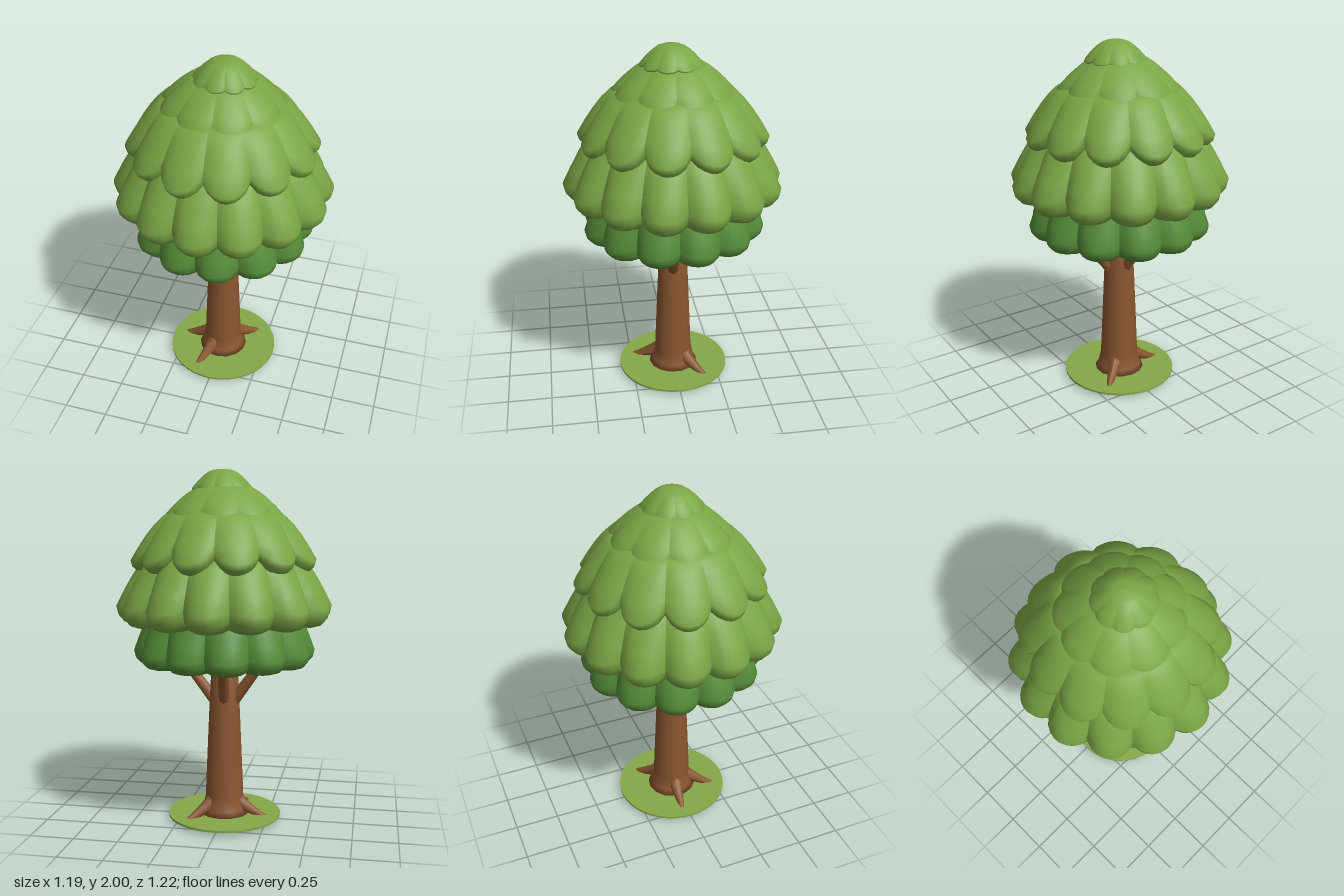
import * as THREE from 'three';

const bark = new THREE.MeshStandardMaterial({ color: 0x8a5630 });
const leaf = new THREE.MeshStandardMaterial({ color: 0x7aa645 });
const darkLeaf = new THREE.MeshStandardMaterial({ color: 0x558c38 });
const grass = new THREE.MeshStandardMaterial({ color: 0x86a848 });

function add(parent, name, geometry, material) {
  const mesh = new THREE.Mesh(geometry, material);
  mesh.name = name;
  parent.add(mesh);
  return mesh;
}

// Tier outline, top to bottom: sloping dome, rounded lip, flat underside.
// Each row is radius, height, groove depth and groove lift.
function tierProfile({ shoulder, top, rim, rimY, bottom, depth, lift }) {
  const rows = [{ r: 0, y: top + 0.005, d: 0, h: 0 }];
  for (let i = 0; i <= 5; i++) {
    const t = i / 5;
    rows.push({ r: shoulder + (rim - shoulder) * t, y: top - (top - rimY) * t ** 1.5, d: depth * t, h: lift * t ** 3 });
  }
  for (let i = 1; i <= 3; i++) {
    const a = (i / 3) * (Math.PI / 2);
    rows.push({ r: rim * (0.86 + 0.14 * Math.cos(a)), y: rimY - (rimY - bottom) * Math.sin(a), d: depth, h: lift });
  }
  rows.push({ r: rim / 2, y: bottom, d: depth / 2, h: lift / 2 }, { r: 0, y: bottom, d: 0, h: 0 });
  return rows;
}

// Scalloped tier; each lobe has its own vertices, so the grooves stay sharp.
function tierGeometry(tier, steps = 8) {
  const profile = tierProfile(tier), rows = profile.length;
  const pos = [], index = [];
  for (let l = 0; l < tier.lobes; l++) {
    const base = pos.length / 3;
    for (let s = 0; s <= steps; s++) {
      const u = s / steps;
      const angle = tier.phase + ((l + u) / tier.lobes) * Math.PI * 2;
      const notch = 1 - Math.max(0, Math.sin(Math.PI * u)) ** 0.75;
      for (const { r, y, d, h } of profile) {
        const rad = r * (1 - d * notch);
        pos.push(Math.sin(angle) * rad, y + h * notch, Math.cos(angle) * rad);
      }
    }
    for (let s = 0; s < steps; s++) {
      for (let k = 0; k < rows - 1; k++) {
        const a = base + s * rows + k, b = a + rows;
        index.push(a, a + 1, b, b, a + 1, b + 1);
      }
    }
  }
  const g = new THREE.BufferGeometry();
  g.setAttribute('position', new THREE.Float32BufferAttribute(pos, 3));
  g.setIndex(index);
  g.computeVertexNormals();
  return g;
}

// Tapered limb: a tube whose rings shrink along the path, closed by a small ball at each end.
function addLimb(parent, name, points, r0, r1) {
  const sides = 8, segments = 5;
  const curve = new THREE.CatmullRomCurve3(points);
  const g = new THREE.TubeGeometry(curve, segments, 1, sides);
  const p = g.attributes.position, v = new THREE.Vector3();
  for (let i = 0; i < p.count; i++) {
    const t = Math.floor(i / (sides + 1)) / segments;
    const c = curve.getPointAt(t);
    v.fromBufferAttribute(p, i).sub(c).multiplyScalar(r0 + (r1 - r0) * t).add(c);
    p.setXYZ(i, v.x, v.y, v.z);
  }
  g.computeVertexNormals();
  const limb = new THREE.Group();
  limb.name = name;
  parent.add(limb);
  add(limb, name + 'Shaft', g, bark);
  add(limb, name + 'Start', new THREE.SphereGeometry(r0, 8, 6), bark).position.copy(points[0]);
  add(limb, name + 'Tip', new THREE.SphereGeometry(r1, 8, 6), bark).position.copy(points[points.length - 1]);
}

export function createModel() {
  const tree = new THREE.Group();
  tree.name = 'tree';

  // Grass disc
  add(tree, 'ground', new THREE.CylinderGeometry(0.325, 0.325, 0.012, 40), grass).position.y = 0.024;

  // Trunk with flared foot
  const trunk = [[0, 0.02], [0.15, 0.02], [0.125, 0.06], [0.11, 0.13], [0.09, 0.6], [0.07, 1], [0, 1]];
  add(tree, 'trunk', new THREE.LatheGeometry(trunk.map(([r, y]) => new THREE.Vector2(r, y)), 14), bark);

  // Roots, each curving down to its tip on the ground
  for (const [x, z] of [[-0.11, 0.25], [0.2, -0.18], [-0.265, -0.03]]) {
    const at = (t, y) => new THREE.Vector3(x * t, y, z * t);
    addLimb(tree, 'root', [at(0.32, 0.1), at(0.5, 0.07), at(0.76, 0.035), at(0.98, 0.012)], 0.042, 0.012);
  }

  // Branches rising into the crown
  for (const [x, z] of [[0.28, 0.03], [-0.25, -0.04], [-0.03, -0.22]]) {
    addLimb(tree, 'branch', [new THREE.Vector3(x * 0.2, 0.69, z * 0.2), new THREE.Vector3(x, 0.97, z)], 0.034, 0.026);
  }

  // Crown tiers, bottom to top
  const crown = new THREE.Group();
  crown.name = 'crown';
  tree.add(crown);
  add(crown, 'bottomTier', tierGeometry({ lobes: 12, phase: -0.06, shoulder: 0.38, top: 1.25, rim: 0.515, rimY: 0.99, bottom: 0.913, depth: 0.13, lift: 0.01 }), darkLeaf);
  add(crown, 'lowerTier', tierGeometry({ lobes: 14, phase: Math.PI / 14, shoulder: 0.38, top: 1.56, rim: 0.61, rimY: 1.245, bottom: 1.145, depth: 0.12, lift: 0.02 }), leaf);
  add(crown, 'middleTier', tierGeometry({ lobes: 12, phase: 0.06, shoulder: 0.3, top: 1.765, rim: 0.525, rimY: 1.5, bottom: 1.435, depth: 0.13, lift: 0.06 }), leaf);
  add(crown, 'upperTier', tierGeometry({ lobes: 9, phase: 0.1, shoulder: 0.12, top: 1.91, rim: 0.335, rimY: 1.745, bottom: 1.71, depth: 0.1, lift: 0.02 }), leaf);
  const topTier = tierGeometry({ lobes: 9, phase: 0.25, shoulder: 0.05, top: 1.995, rim: 0.172, rimY: 1.893, bottom: 1.875, depth: 0.09, lift: 0.01 });
  add(crown, 'topTier', topTier, leaf).position.set(0.014, 0, 0.01);
  return tree;
}
